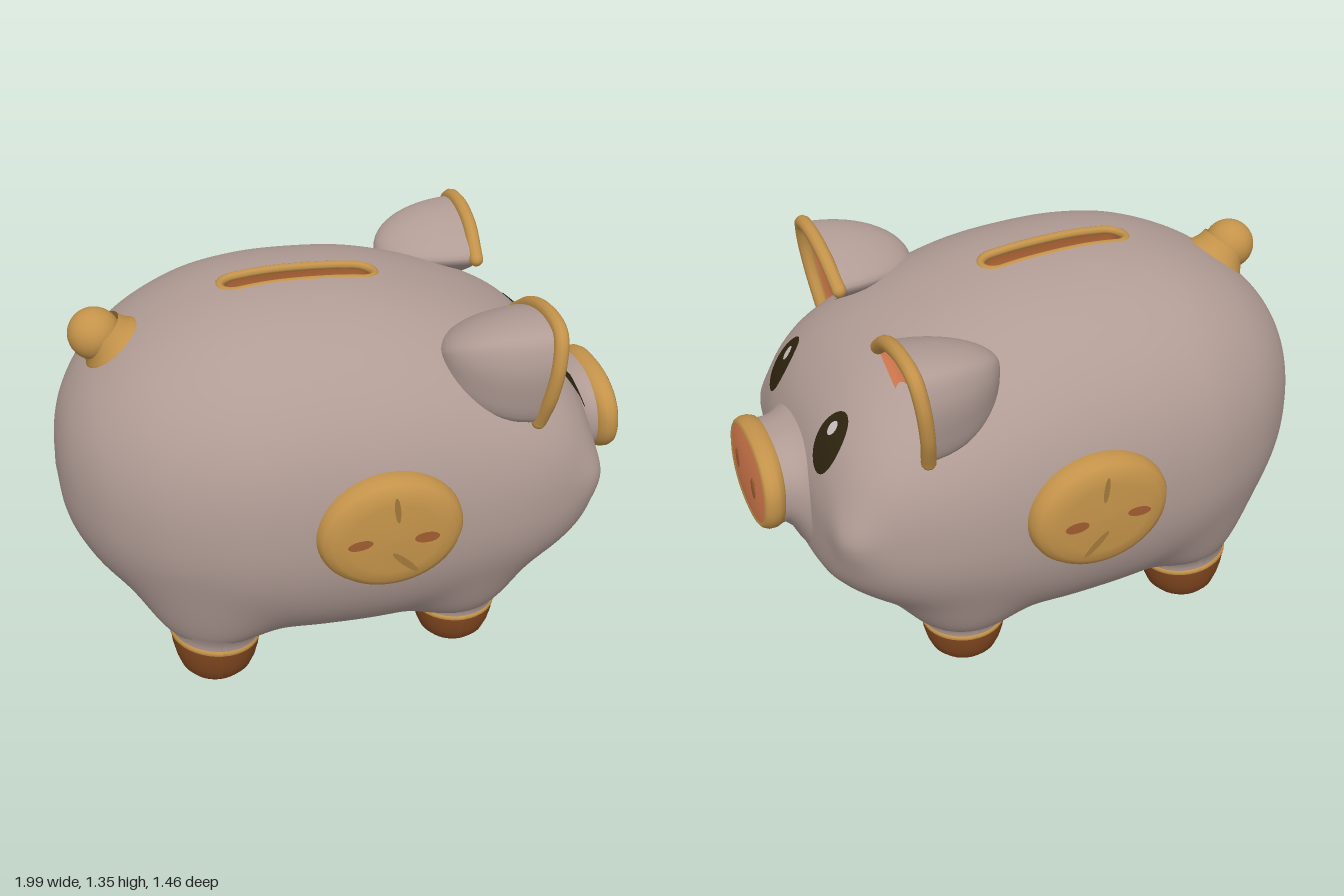
import * as THREE from 'three';

const mat = (name, color) => new THREE.MeshStandardMaterial({ name, color, side: THREE.DoubleSide });
const M = {
  body: mat('warmGrey', 0xb19c95), gold: mat('gold', 0xc4934a), brown: mat('hoofBrown', 0x834820),
  salmon: mat('salmon', 0xd87c4e), deepSalmon: mat('deepSalmon', 0xc67148), dark: mat('eyeDark', 0x2e230f),
  spark: mat('eyeLight', 0xc9c2be), rust: mat('rust', 0xa05c30), ochre: mat('ochre', 0xa2783a),
};

// Smooth sheet f(u, v): v wraps round, u runs 0..1; skip(point) leaves holes
function sheet(nu, nv, f, skip) {
  const pos = [], idx = [], P = [];
  for (let i = 0; i <= nu; i++) for (let j = 0; j < nv; j++) {
    const p = f(i / nu, j / nv);
    P.push(p);
    pos.push(p.x, p.y, p.z);
  }
  for (let i = 0; i < nu; i++) for (let j = 0; j < nv; j++) {
    const a = i * nv + j, d = i * nv + (j + 1) % nv, b = a + nv, c = d + nv;
    if (skip && skip(P[a].clone().add(P[c]).multiplyScalar(0.5))) continue;
    idx.push(a, b, c, a, c, d);
  }
  const g = new THREE.BufferGeometry();
  g.setAttribute('position', new THREE.Float32BufferAttribute(pos, 3));
  g.setIndex(idx);
  g.computeVertexNormals();
  return g;
}
const V = (x, y, z) => new THREE.Vector3(x, y, z);
const lathe = (pts, n = 40) => new THREE.LatheGeometry(pts.map(p => new THREE.Vector2(...p)), n);
const spow = (k, e) => Math.sign(k) * Math.abs(k) ** e;

// Body sections: x, top, bottom, half width
const ROWS = [
  [-1, 0.72, 0.72, 0], [-0.985, 0.86, 0.57, 0.14], [-0.94, 0.985, 0.455, 0.27], [-0.85, 1.105, 0.335, 0.41],
  [-0.7, 1.22, 0.21, 0.54], [-0.5, 1.305, 0.125, 0.63], [-0.3, 1.34, 0.085, 0.663], [-0.1, 1.342, 0.07, 0.67],
  [0.1, 1.322, 0.072, 0.668], [0.3, 1.268, 0.1, 0.652], [0.48, 1.195, 0.16, 0.625], [0.62, 1.115, 0.245, 0.585],
  [0.71, 1.035, 0.31, 0.54], [0.77, 0.955, 0.36, 0.485], [0.81, 0.87, 0.405, 0.41], [0.837, 0.78, 0.475, 0.25],
  [0.845, 0.64, 0.64, 0],
];
const spline = f => new THREE.CatmullRomCurve3(ROWS.map(f), false, 'catmullrom', 0.5);
const heightCurve = spline(r => V(r[0], r[1], r[2])), widthCurve = spline(r => V(r[3], 0, 0));
// Sections are rounded ovals that grow squarer towards the face (power e)
function section(u) {
  const p = heightCurve.getPoint(u);
  const e = 0.88 - 0.06 * THREE.MathUtils.smoothstep(p.x, 0.3, 0.75);
  return { x: p.x, c: (p.y + p.z) / 2, h: (p.y - p.z) / 2, w: Math.max(0, widthCurve.getPoint(u).x), e };
}
function bisect(lo, hi, below) {
  for (let i = 0; i < 30; i++) {
    const m = (lo + hi) / 2;
    if (below(section(m))) lo = m; else hi = m;
  }
  return section(lo);
}
// Body top height at (x, z), and face depth at (y, z)
function topY(x, z) {
  const s = bisect(0, 1, q => q.x < x);
  return s.c + s.h * (1 - Math.abs(z / s.w) ** (2 / s.e)) ** (s.e / 2);
}
const faceX = (y, z) => bisect(0.55, 1, q =>
  Math.abs(z / q.w) ** (2 / q.e) + Math.abs((y - q.c) / q.h) ** (2 / q.e) < 1).x;

// Coin slot outline, draped on the back
const SLOT_X = -0.14, SLOT_HALF = 0.21;
function slotPath(r, drop) {
  const s = new THREE.Shape();
  s.absarc(SLOT_HALF, 0, r, -Math.PI / 2, Math.PI / 2);
  s.absarc(-SLOT_HALF, 0, r, Math.PI / 2, Math.PI * 1.5);
  s.closePath();
  return s.getSpacedPoints(80).slice(0, 80).map(p => V(p.x + SLOT_X, topY(p.x + SLOT_X, p.y) - drop, p.y));
}
const inSlot = p => p.y > 1 &&
  Math.hypot(Math.max(0, Math.abs(p.x - SLOT_X) - SLOT_HALF), p.z) < 0.057;

// Legs: name, x, radius scale, height scale, slope of the top, height the body reaches down to
const LEG_Z = 0.322;
const LEGS = [['front', 0.345, 1, 0.95, 0, 0.14], ['back', -0.53, 1.06, 1.1, 0.9, 0.17]];

// Rounded-oblong loft along x for the snout: rows of x, half height, half width, centre y
function snoutLoft(rows) {
  return sheet(rows.length - 1, 64, (u, v) => {
    const [x, h, w, c] = rows[Math.round(u * (rows.length - 1))], t = v * Math.PI * 2;
    const dy = h * spow(Math.cos(t), 0.88);
    return V(x - dy * 0.06, c + dy, -w * spow(Math.sin(t), 0.88));
  });
}

// Oval plate that hugs the face
const facePlate = (y, z, ry, rz, lift, lean = 0) => sheet(8, 36, (u, v) => {
  const t = v * Math.PI * 2, r = 1 - u;
  const dy = ry * r * Math.cos(t), pz = z - rz * r * Math.sin(t) - lean * dy;
  return V(faceX(y + dy, pz) + lift, y + dy, pz);
});

// Lathe whose height falls off towards +x
function slopedLathe(pts, slope) {
  const g = lathe(pts), p = g.attributes.position;
  for (let i = 0; i < p.count; i++) p.setY(i, p.getY(i) * (1 - slope * p.getX(i)));
  g.computeVertexNormals();
  return g;
}

export function createModel() {
  const model = new THREE.Group();
  model.name = 'piggyBank';
  const add = (name, geo, material, parent = model) => {
    const m = new THREE.Mesh(geo, material);
    m.name = name;
    parent.add(m);
    return m;
  };

  // Body with soft cheeks, swellings that run down into the legs, and an opening for the slot
  add('body', sheet(150, 200, (u, v) => {
    const s = section(u), a = v * Math.PI * 2, t = a - 0.5 * Math.sin(a);
    const p = V(s.x, s.c + s.h * spow(Math.cos(t), s.e), -s.w * spow(Math.sin(t), s.e));
    const bump = 0.03 * Math.exp(-((p.x - 0.75) ** 2 + (p.y - 0.69) ** 2 + (Math.abs(p.z) - 0.46) ** 2) / 0.008);
    p.x += bump * 0.7;
    p.z += Math.sign(p.z) * bump * 0.7;
    for (const [, x, r, , , low] of LEGS) {
      const d = Math.hypot(p.x - x, Math.abs(p.z) - LEG_Z) / (0.2 * r);
      const pull = Math.exp(-(d ** 4)) * (1 - THREE.MathUtils.smoothstep(p.y, 0.3, 0.55));
      p.y += (Math.min(p.y, low) - p.y) * pull;
    }
    return p;
  }, inSlot), M.body);

  // Coin slot, its rim almost flush
  const rimPath = new THREE.CatmullRomCurve3(slotPath(0.055, 0.011), true);
  add('slotRim', new THREE.TubeGeometry(rimPath, 120, 0.015, 8, true), M.gold);
  const wellTop = slotPath(0.05, 0.01);
  add('slotWell', sheet(2, 80, (u, v) => {
    const p = wellTop[Math.round(v * 80)].clone();
    if (u > 0.2) p.y = 1.26;
    if (u > 0.8) p.z = 0;
    return p;
  }), M.rust);

  // Snout
  add('snoutStem', snoutLoft([[0.75, 0.29, 0.35, 0.65], [0.8, 0.24, 0.295, 0.655], [0.835, 0.205, 0.25, 0.67],
    [0.86, 0.176, 0.217, 0.69], [0.89, 0.158, 0.207, 0.702], [0.93, 0.15, 0.21, 0.706]]), M.body);
  add('snoutRim', snoutLoft([[0.905, 0.145, 0.203, 0.708], [0.915, 0.155, 0.224, 0.708], [0.935, 0.16, 0.235, 0.708],
    [0.957, 0.16, 0.235, 0.708], [0.974, 0.153, 0.227, 0.708], [0.982, 0.143, 0.215, 0.708],
    [0.976, 0.133, 0.205, 0.708]]), M.gold);
  add('snoutFace', snoutLoft([[0.978, 0.138, 0.211, 0.708], [0.985, 0.1, 0.15, 0.708], [0.988, 0.05, 0.08, 0.708],
    [0.989, 0, 0, 0.708]]), M.salmon);

  // Tail: flared collar and ball
  const collar = add('tailCollar', lathe([[0.12, -0.04], [0.117, -0.012], [0.104, 0.004], [0.092, 0.025], [0.085, 0.055]]), M.gold);
  collar.position.set(-0.778, 1.163, 0);
  collar.rotation.z = 0.66;
  add('tailBall', new THREE.SphereGeometry(0.088, 32, 20), M.gold).position.set(-0.827, 1.2, 0);

  // Ear loop as (y, z): the first seven points carry the rim, the rest meet the head
  const earPts = [[0.98, 0.55], [1.1, 0.595], [1.22, 0.603], [1.3, 0.57], [1.322, 0.47], [1.29, 0.32], [1.21, 0.2],
    [1.11, 0.32], [1.03, 0.44]].map(([y, z]) => V(0.53 + (y - 0.97) * 0.13, y, z));
  const earLoop = new THREE.CatmullRomCurve3(earPts, true);
  const earRim = new THREE.CatmullRomCurve3(earPts.slice(0, 7));
  const bowl = tip => sheet(14, 56, (u, v) => {
    const a = u * Math.PI / 2, p = earLoop.getPoint(v);
    return V(THREE.MathUtils.lerp(p.x, tip.x, Math.sin(a)),
      THREE.MathUtils.lerp(tip.y, p.y, Math.cos(a)), THREE.MathUtils.lerp(tip.z, p.z, Math.cos(a)));
  });

  for (const side of [1, -1]) {
    const half = new THREE.Group();
    half.name = side > 0 ? 'frontHalfParts' : 'backHalfParts';
    half.scale.z = side;
    model.add(half);

    add('earBack', bowl(V(0.24, 1.19, 0.4)), M.body, half);
    add('earInner', bowl(V(0.48, 1.17, 0.43)), M.deepSalmon, half);
    add('earRim', new THREE.TubeGeometry(earRim, 48, 0.025, 10), M.gold, half);
    for (const i of [0, 6]) add('earRimEnd', new THREE.SphereGeometry(0.025, 12, 8), M.gold, half).position.copy(earPts[i]);

    add('eye', facePlate(0.935, 0.263, 0.094, 0.068, 0.007, 0.1), M.dark, half);
    add('eyeSpark', facePlate(0.982, 0.253, 0.021, 0.018, 0.012), M.spark, half);
    const nostril = add('nostril', new THREE.SphereGeometry(1, 20, 12), M.rust, half);
    nostril.scale.set(0.005, 0.042, 0.022);
    nostril.position.set(0.987, 0.71, 0.097);

    // Side medallion with small dents
    const disc = lathe([[0.95, 0.59], [0.99, 0.63], [1, 0.655], [0.985, 0.68], [0.93, 0.702], [0.82, 0.717], [0.62, 0.727], [0, 0.73]], 56);
    disc.rotateX(Math.PI / 2).scale(0.245, 0.205, 1).translate(0, 0.725, 0);
    add('medallion', disc, M.gold, half);
    for (const [x, y, w, h, tilt, m] of [[-0.115, 0.725, 0.042, 0.018, 0.1, M.rust], [0.105, 0.722, 0.042, 0.02, 0, M.rust],
      [0.005, 0.84, 0.01, 0.048, 0.1, M.ochre], [0.035, 0.635, 0.012, 0.06, 0.8, M.ochre]]) {
      const dent = add('medallionDent', new THREE.CircleGeometry(1, 16), m, half);
      dent.scale.set(w, h, 1);
      dent.rotation.z = tilt;
      dent.position.set(x, y, 0.732);
    }

    // Feet: rounded hoof, thin trim and short flared leg
    for (const [name, x, r, h, slope] of LEGS) {
      const leg = new THREE.Group();
      leg.name = name + 'Leg';
      leg.position.set(x, 0, LEG_Z);
      leg.scale.set(r, h, r);
      half.add(leg);
      const ring = (part, pts, m) => add(part, slopedLathe(pts, slope), m, leg);
      ring('hoof', [[0, 0], [0.07, 0], [0.098, 0.008], [0.118, 0.03], [0.132, 0.065], [0.142, 0.105], [0.146, 0.14]], M.brown);
      ring('hoofTrim', [[0.144, 0.135], [0.148, 0.14], [0.148, 0.15], [0.142, 0.156]], M.gold);
      ring('upperLeg', [[0.143, 0.148], [0.144, 0.165], [0.15, 0.185], [0.161, 0.205]], M.body);
    }
  }
  return model;
}
